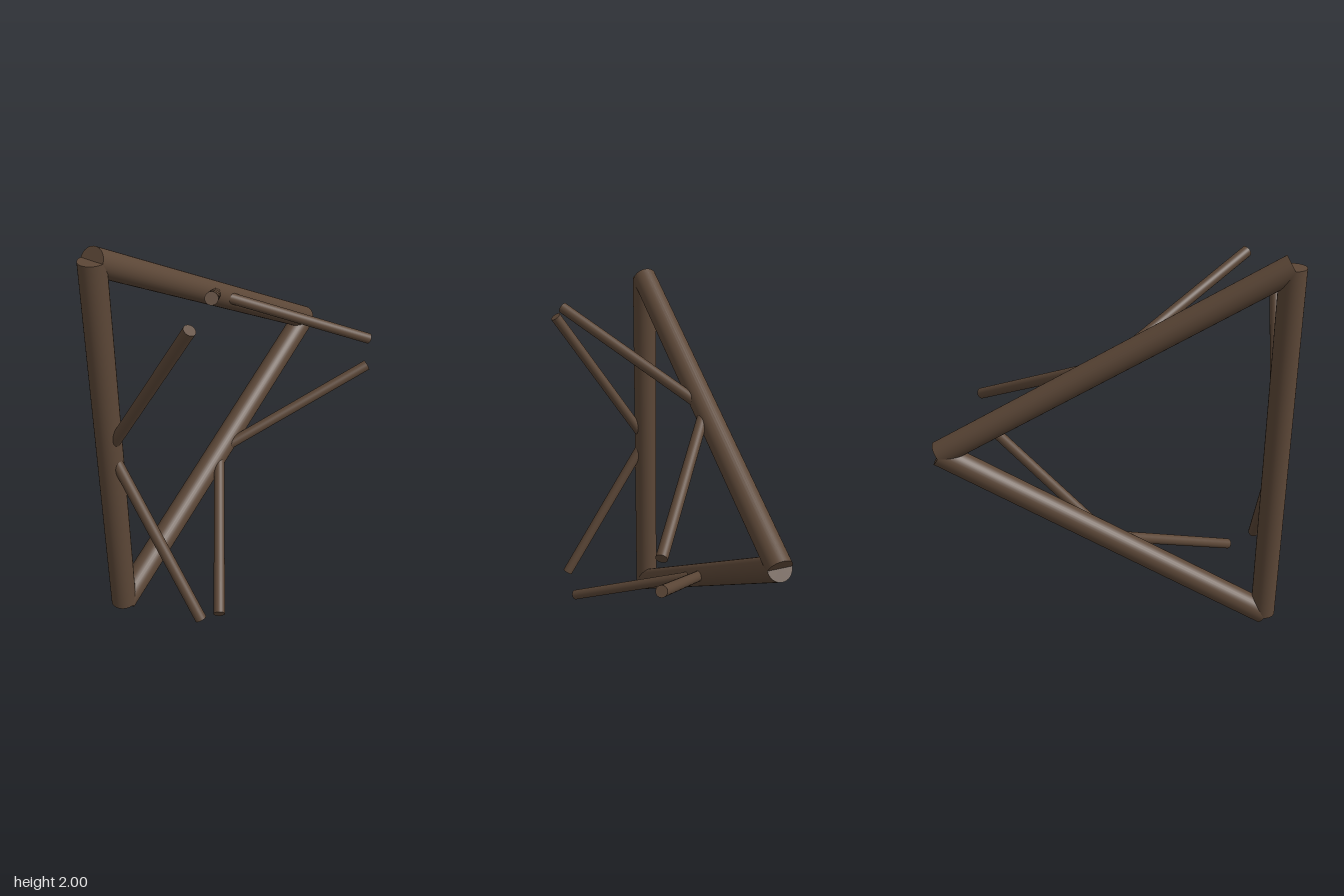
import * as THREE from 'three';

const UP = new THREE.Vector3(0, 1, 0);

// Round pole with flat ends between two points
function pole(name, a, b, radius, material) {
  const dir = b.clone().sub(a);
  const mesh = new THREE.Mesh(new THREE.CylinderGeometry(radius, radius, dir.length(), 32), material);
  mesh.position.copy(a).add(b).multiplyScalar(0.5);
  mesh.quaternion.setFromUnitVectors(UP, dir.normalize());
  mesh.name = name;
  return mesh;
}

export function createModel() {
  const model = new THREE.Group();
  model.name = 'triangularFrame';
  const wood = new THREE.MeshStandardMaterial({ color: 0x5c4737 });

  const z = -0.235;
  const corners = [
    new THREE.Vector3(-0.803, 0.055, z),
    new THREE.Vector3(-0.803, 1.945, z),
    new THREE.Vector3(0.834, 1, z),
  ];
  const sides = ['uprightSide', 'upperSide', 'lowerSide'];

  corners.forEach((a, i) => {
    const b = corners[(i + 1) % 3];
    const side = new THREE.Group();
    side.name = sides[i];

    // Main beam along the triangle's edge
    side.add(pole('beam', a, b, 0.062, wood));

    // Pair of thin struts spreading forward from the beam's middle
    const mid = a.clone().add(b).multiplyScalar(0.5);
    const along = b.clone().sub(a).normalize();
    for (const s of [-1, 1]) {
      const tip = mid.clone().addScaledVector(along, s * 0.78);
      tip.z = 0.273;
      side.add(pole(s < 0 ? 'firstStrut' : 'secondStrut', mid, tip, 0.028, wood));
    }
    model.add(side);
  });
  return model;
}
